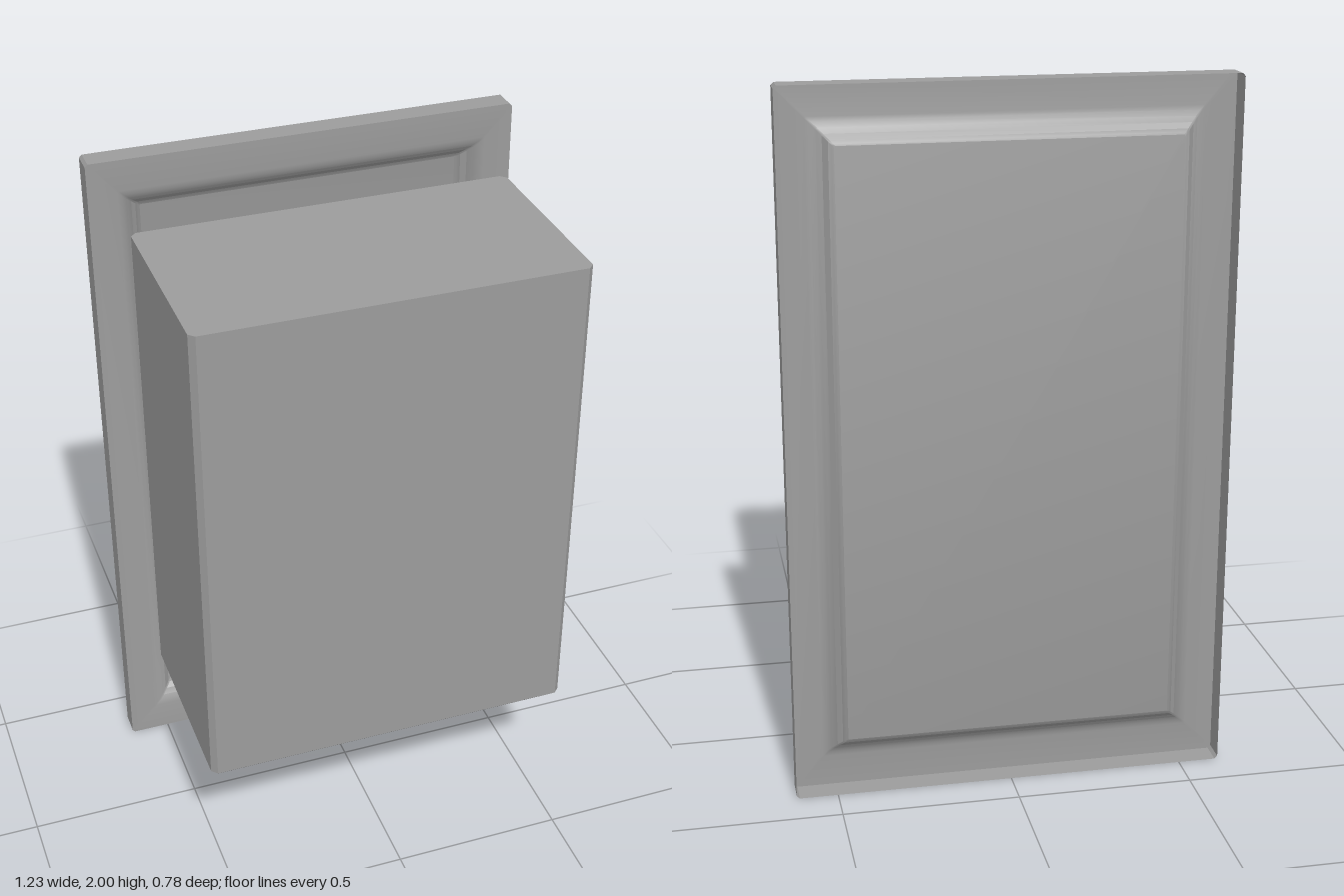
import * as THREE from 'three';
import { toCreasedNormals } from 'three/addons/utils/BufferGeometryUtils.js';

// Rectangle outline with cut corners, counter-clockwise: half sizes w, h, cut c, at depth z
function ring(w, h, c, z) {
  return [
    [w, -h + c, z], [w, h - c, z], [w - c, h, z], [-w + c, h, z],
    [-w, h - c, z], [-w, -h + c, z], [-w + c, -h, z], [w - c, -h, z],
  ];
}

// Skin a list of rings, with optional flat caps at both ends
function loft(rings, capStart, capEnd) {
  const pos = [];
  const tri = (...pts) => pts.forEach((p) => pos.push(...p));
  for (let r = 0; r < rings.length - 1; r++) {
    const a = rings[r], b = rings[r + 1];
    for (let i = 0; i < a.length; i++) {
      const j = (i + 1) % a.length;
      tri(a[i], a[j], b[j]);
      tri(a[i], b[j], b[i]);
    }
  }
  const first = rings[0], last = rings[rings.length - 1];
  for (let i = 1; i < first.length - 1; i++) {
    if (capStart) tri(first[0], first[i + 1], first[i]);
    if (capEnd) tri(last[0], last[i], last[i + 1]);
  }
  const geo = new THREE.BufferGeometry();
  geo.setAttribute('position', new THREE.Float32BufferAttribute(pos, 3));
  return toCreasedNormals(geo, 0.5);
}

export function createModel() {
  const group = new THREE.Group();
  const solid = new THREE.MeshStandardMaterial({ color: 0x9c9c9c });
  const thin = new THREE.MeshStandardMaterial({ color: 0x9c9c9c, side: THREE.DoubleSide });
  const add = (name, geo, mat, x, y, z) => {
    const mesh = new THREE.Mesh(geo, mat);
    mesh.name = name;
    mesh.position.set(x, y, z);
    group.add(mesh);
  };

  // Wall plate: thin pressed sheet, open at the back, with a sunken panel behind a soft slope
  const front = -0.322;
  const plate = [ring(0.617, 1, 0.008, -0.39), ring(0.617, 1, 0.008, front)];
  const slope = [[0, 0], [0.2, 0.06], [0.4, 0.24], [0.6, 0.5], [0.8, 0.78], [0.92, 0.93], [1, 1]];
  for (const [t, s] of slope) {
    plate.push(ring(0.535 - 0.07 * t, 0.91 - 0.07 * t, 0.004, front - 0.048 * s));
  }
  add('wallPlate', loft(plate, false, true), thin, 0, 1, 0);

  // Shade: box open underneath, with chamfered corners and lower lip
  const w = 0.542, d = 0.292;
  const shade = loft([
    ring(w - 0.04, d - 0.04, 0.004, 1.805),
    ring(w - 0.04, d - 0.04, 0.004, 0.4),
    ring(w - 0.015, d - 0.015, 0.012, 0.4),
    ring(w, d, 0.016, 0.415),
    ring(w, d, 0.016, 1.845),
  ], true, true);
  shade.rotateX(-Math.PI / 2);
  add('shade', shade, solid, 0.005, 0, 0.097);

  // Two arms joining the back of the shade to the sunken panel
  for (const [name, y] of [['lowerArm', 0.768], ['upperArm', 1.508]]) {
    add(name, new THREE.BoxGeometry(0.114, 0.325, 0.188), solid, -0.025, y, -0.274);
  }

  // Bulb and its stem, hanging inside the shade
  const bulb = [
    [0, 0.363], [0.055, 0.363], [0.13, 0.4], [0.17, 0.46], [0.185, 0.53], [0.17, 0.61],
    [0.13, 0.7], [0.085, 0.79], [0.07, 0.87], [0.07, 1.05], [0, 1.05],
  ].map(([x, y]) => new THREE.Vector2(x, y));
  add('bulb', toCreasedNormals(new THREE.LatheGeometry(bulb, 24), 0.6), solid, -0.028, 0, 0.09);
  add('stem', new THREE.CylinderGeometry(0.03, 0.03, 0.78, 16), solid, -0.028, 1.43, 0.09);

  return group;
}
